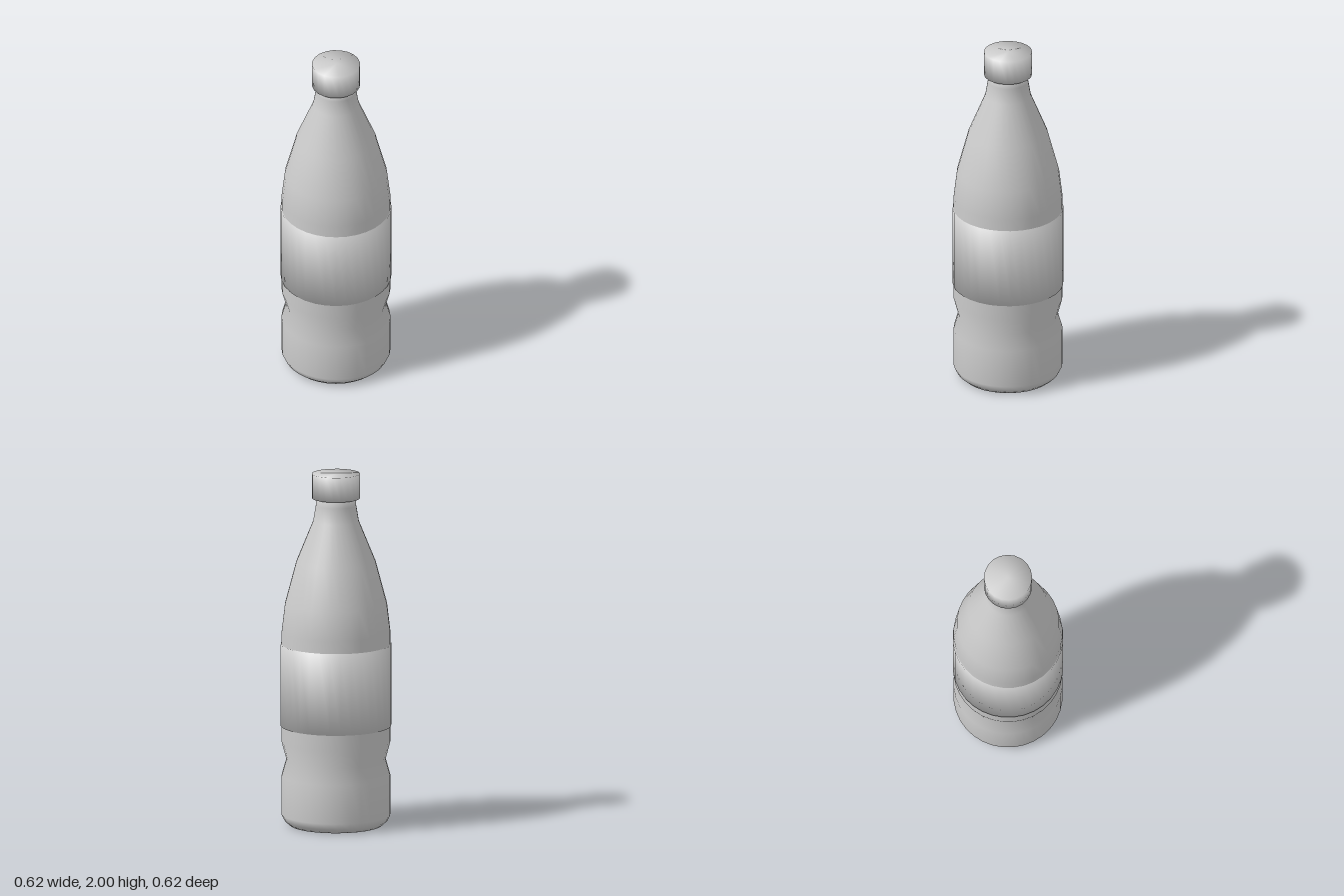
import * as THREE from 'three';

export function createModel() {
  const group = new THREE.Group();
  const lightGrey = new THREE.MeshStandardMaterial({ color: 0xcccccc });
  lightGrey.name = 'lightGrey';

  // Every part is a smooth solid of revolution: profile of [radius, height], bottom to top
  const turn = (name, profile, sides) => {
    const points = profile.map(([r, y]) => new THREE.Vector2(r, y));
    const mesh = new THREE.Mesh(new THREE.LatheGeometry(points, sides), lightGrey);
    mesh.name = name;
    group.add(mesh);
  };
  const drum = (r, y0, y1) => [[0, y0], [r, y0], [r, y1], [0, y1]];

  // Bottle with chamfered base, pinched waist and tapering shoulder
  turn('bottle', [
    [0, 0], [0.26, 0], [0.288, 0.025], [0.305, 0.06], [0.305, 0.28], [0.278, 0.375],
    [0.305, 0.475], [0.305, 1.1], [0.286, 1.26], [0.222, 1.5],
    [0.128, 1.73], [0.113, 1.82], [0.11, 1.9], [0, 1.9],
  ], 32);

  // Wrapped label and screw cap
  turn('label', drum(0.31, 0.565, 1.03), 32);
  turn('cap', drum(0.135, 1.86, 2), 20);

  return group;
}
